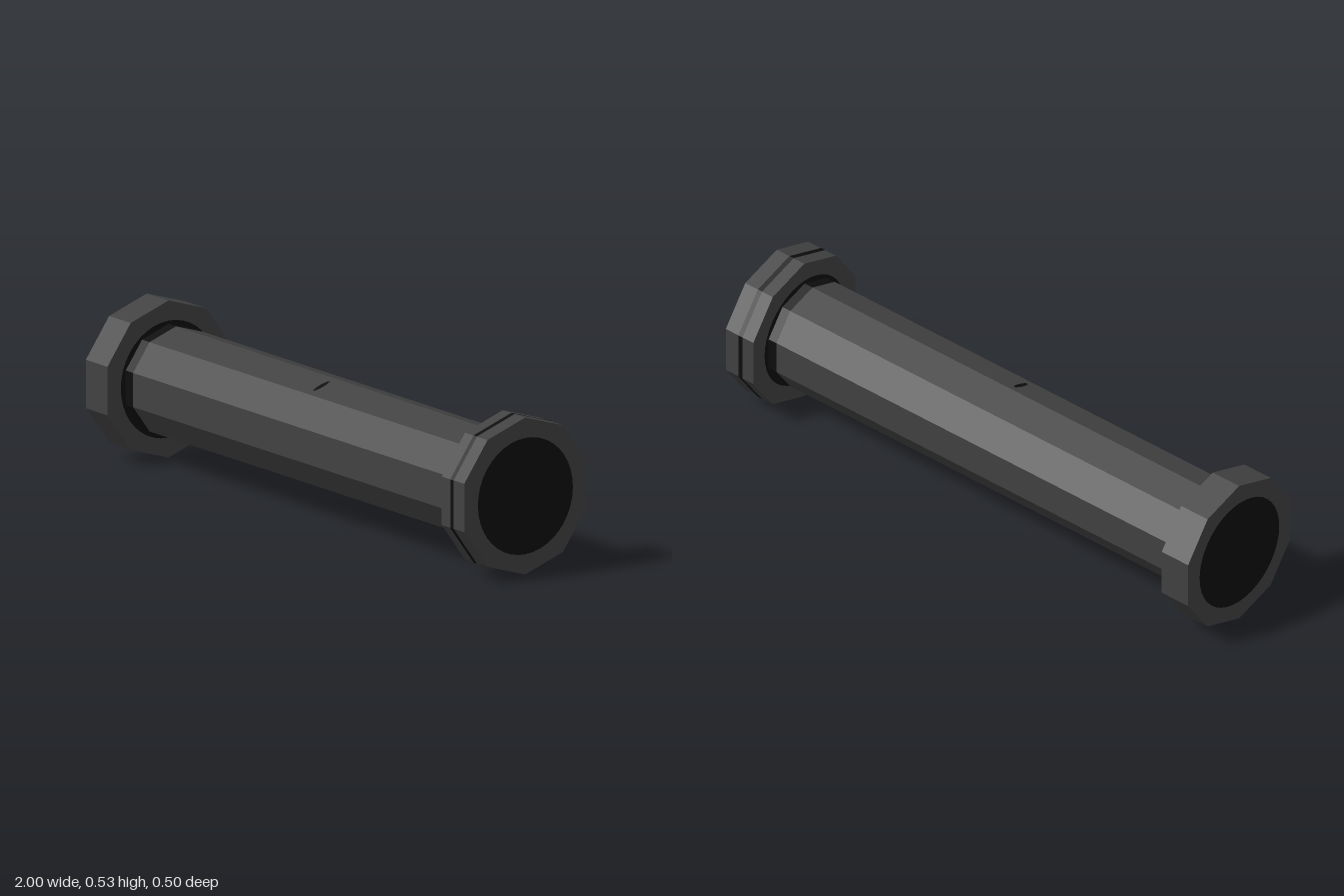
import * as THREE from 'three';

export function createModel() {
  const model = new THREE.Group();
  const grey = new THREE.MeshStandardMaterial({ color: 0x424242, flatShading: true });
  grey.name = 'charcoal';
  const black = new THREE.MeshStandardMaterial({ color: 0x0e0e0e, flatShading: true });
  black.name = 'black';

  const axisY = 0.263;
  const add = (name, geometry, material, x) => {
    const mesh = new THREE.Mesh(geometry, material);
    mesh.name = name;
    mesh.position.set(x, axisY, 0);
    model.add(mesh);
    return mesh;
  };

  // Ten-sided prism lying along x, with a corner pointing up
  const prism = (name, radius, x0, x1, material, open = false) => {
    const g = new THREE.CylinderGeometry(radius, radius, x1 - x0, 10, 1, open, Math.PI / 2);
    g.rotateZ(Math.PI / 2);
    return add(name, g, material, (x0 + x1) / 2);
  };

  // Pipe body
  prism('pipe', 0.185, -0.845, 0.845, grey);

  // End flanges, collars and dark openings
  const ends = [
    { side: -1, label: 'right', inner: 0.885 },
    { side: 1, label: 'left', inner: 0.88 },
  ];
  for (const { side, label, inner } of ends) {
    const span = (a, b) => (side > 0 ? [a, b] : [-b, -a]);
    prism(label + 'Flange', 0.263, ...span(inner, 0.999), grey);
    prism(label + 'Collar', 0.185, ...span(0.845, inner), black);

    const opening = new THREE.CircleGeometry(0.195, 40);
    opening.rotateY(side * Math.PI / 2);
    add(label + 'Opening', opening, black, side);

    const ring = new THREE.RingGeometry(0.17, 0.196, 40);
    ring.rotateY(-side * Math.PI / 2);
    add(label + 'InnerRing', ring, black, side * (inner - 0.001));
  }

  // Narrow band around one flange
  prism('flangeBand', 0.2638, 0.926, 0.944, black, true);

  // Small mark on the upper front facet
  const mark = new THREE.CircleGeometry(1, 12);
  mark.scale(0.01, 0.035, 1);
  mark.rotateX(-Math.PI / 2);
  mark.translate(0, 0.1767, 0);
  mark.rotateX(Math.PI / 10);
  add('pipeMark', mark, black, -0.007);

  return model;
}
